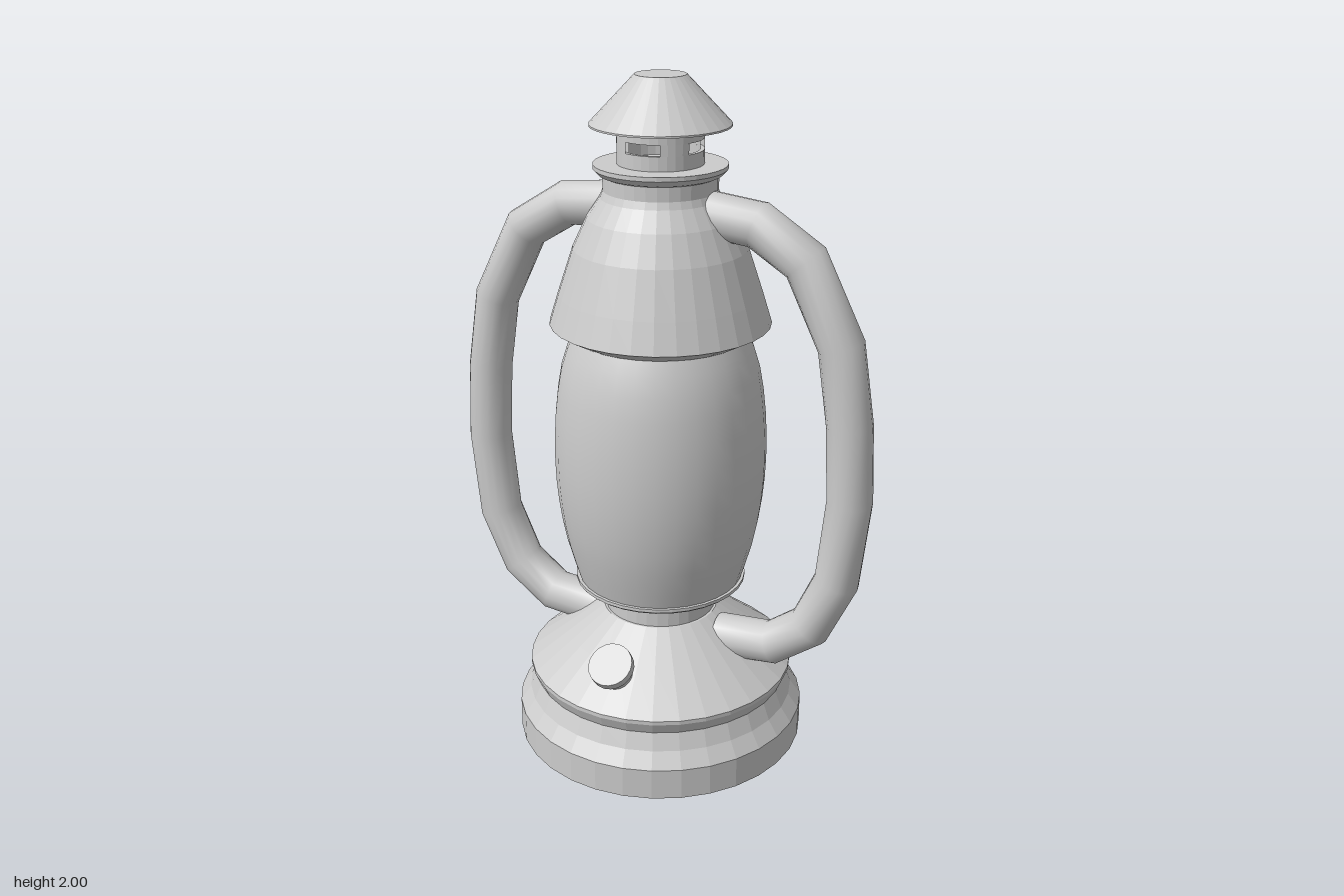
import * as THREE from 'three';

const SEG = 32;
const metal = new THREE.MeshStandardMaterial({ color: 0xcccccc, flatShading: true, side: THREE.DoubleSide });
const smooth = new THREE.MeshStandardMaterial({ color: 0xcccccc, side: THREE.DoubleSide });

function add(parent, name, geometry, material = metal) {
  const mesh = new THREE.Mesh(geometry, material);
  mesh.name = name;
  parent.add(mesh);
  return mesh;
}

// Profile points are [radius, height], bottom to top
function lathe(points, segments = SEG, start = 0, length = Math.PI * 2) {
  return new THREE.LatheGeometry(points.map(([r, y]) => new THREE.Vector2(r, y)), segments, start, length);
}

// Closed rectangular section for a thin ring or a part of one
function band(r, y0, y1, segments, start, length) {
  const i = r - 0.012;
  return lathe([[i, y0], [r, y0], [r, y1], [i, y1], [i, y0]], segments, start, length);
}

export function createModel() {
  const lantern = new THREE.Group();
  lantern.name = 'lantern';

  // Fuel tank with stepped foot, sloping shoulder and burner neck
  add(lantern, 'tank', lathe([
    [0, 0], [0.437, 0], [0.437, 0.095], [0.405, 0.14], [0.385, 0.19],
    [0.4, 0.225], [0.4, 0.237], [0.28, 0.33], [0.172, 0.413], [0.165, 0.413], [0.165, 0.485], [0, 0.485],
  ]));

  // Dish that carries the globe
  add(lantern, 'globeSeat', lathe([
    [0, 0.478], [0.175, 0.478], [0.245, 0.502], [0.255, 0.51], [0.255, 0.52], [0, 0.52],
  ]));

  // Barrel-shaped glass
  const outline = new THREE.SplineCurve([
    [0.243, 0.51], [0.28, 0.64], [0.302, 0.77], [0.31, 0.9],
    [0.305, 1.04], [0.285, 1.18], [0.25, 1.28], [0.235, 1.31],
  ].map(([r, y]) => new THREE.Vector2(r, y)));
  add(lantern, 'globe', new THREE.LatheGeometry(outline.getPoints(14), SEG), smooth);

  // Hood with its flared collar
  add(lantern, 'hood', lathe([
    [0, 1.28], [0.255, 1.28], [0.315, 1.313], [0.288, 1.4], [0.245, 1.53],
    [0.205, 1.615], [0.168, 1.67], [0.16, 1.69], [0.16, 1.73], [0.172, 1.735],
    [0.186, 1.75], [0.186, 1.762], [0, 1.762],
  ]));

  // Vent: two rings joined by posts, leaving four slots
  const vent = new THREE.Group();
  vent.name = 'vent';
  lantern.add(vent);
  add(vent, 'lowerRing', band(0.12, 1.755, 1.802, SEG));
  add(vent, 'upperRing', band(0.12, 1.832, 1.872, SEG));
  const slot = THREE.MathUtils.degToRad(50);
  for (let i = 0; i < 4; i++) {
    add(vent, 'post', band(0.12, 1.802, 1.832, 4, i * Math.PI / 2 + slot / 2, Math.PI / 2 - slot));
  }

  // Conical chimney cap
  add(lantern, 'chimneyCap', lathe([[0, 1.865], [0.195, 1.865], [0.195, 1.87], [0.071, 2], [0, 2]]));

  // Side tubes, one straight segment per path point
  const path = new THREE.CatmullRomCurve3([
    [0.13, 1.637], [0.29, 1.622], [0.43, 1.535], [0.54, 1.315], [0.575, 1.09], [0.586, 0.865],
    [0.56, 0.61], [0.485, 0.445], [0.37, 0.36], [0.2, 0.345],
  ].map(([x, y]) => new THREE.Vector3(x, y, 0)));
  path.getPointAt = path.getPoint;
  path.getTangentAt = path.getTangent;
  const tube = new THREE.TubeGeometry(path, path.points.length - 1, 0.065, 16);
  add(lantern, 'leftTube', tube, smooth);
  add(lantern, 'rightTube', tube, smooth).rotation.y = Math.PI;

  // Filler cap, square to the shoulder
  const filler = new THREE.Group();
  filler.name = 'fillerCap';
  filler.position.set(0, 0.3, 0.285);
  filler.rotation.x = Math.atan2(0.175, 0.235);
  add(filler, 'fillerNeck', new THREE.CylinderGeometry(0.05, 0.05, 0.07, 20)).position.y = 0.025;
  add(filler, 'fillerLid', new THREE.CylinderGeometry(0.066, 0.066, 0.026, 20)).position.y = 0.071;
  lantern.add(filler);

  return lantern;
}
